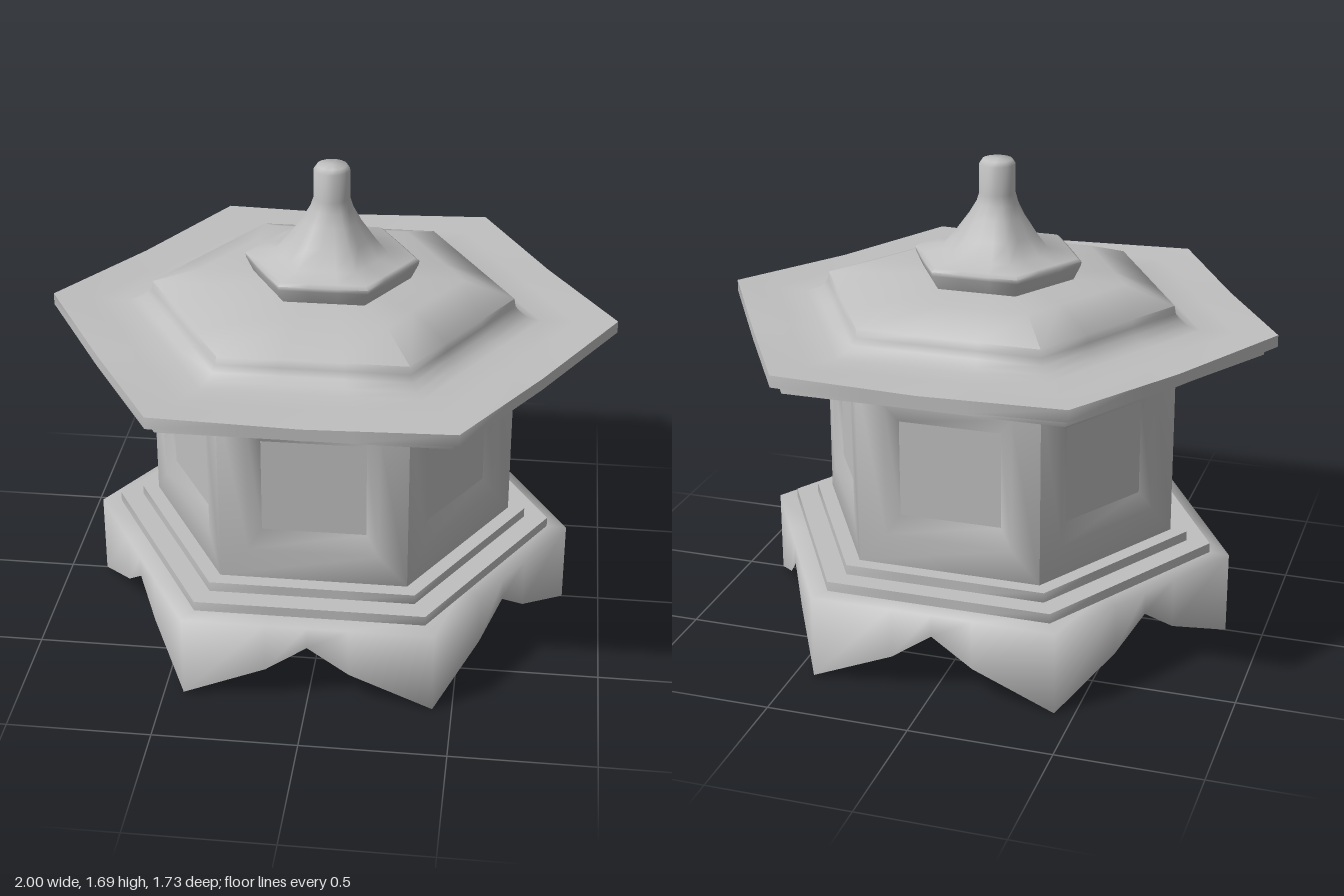
import * as THREE from 'three';
import { toCreasedNormals } from 'three/addons/utils/BufferGeometryUtils.js';

const STEPS = [0, 1 / 3, 1 / 2, 2 / 3]; // sample points along each hexagon side
const N = STEPS.length * 6;

const stone = new THREE.MeshStandardMaterial({ color: 0xbfbfbf, side: THREE.DoubleSide });
stone.name = 'stone grey';

// Point i around a hexagon with corners on +x/-x; round = 1 turns it into a circle.
function ringPoint(i, r, round) {
  const side = Math.floor(i / STEPS.length), t = STEPS[i % STEPS.length];
  const a = side * Math.PI / 3, b = a + Math.PI / 3;
  let x = Math.cos(a) * (1 - t) + Math.cos(b) * t;
  let z = Math.sin(a) * (1 - t) + Math.sin(b) * t;
  const s = 1 + (1 / Math.hypot(x, z) - 1) * round;
  return [x * s * r, z * s * r];
}

// Hexagonal loft through rows of [radius, y, roundness]; height(y, row, i) may bend a row.
function loft(rows, height = y => y, crease = 1.1) {
  const pos = [], index = [];
  rows.forEach(([r, y, round = 0], j) => {
    for (let i = 0; i < N; i++) {
      const [x, z] = ringPoint(i, r, round);
      pos.push(x, height(y, j, i), z);
    }
  });
  for (let j = 0; j < rows.length - 1; j++) {
    for (let i = 0; i < N; i++) {
      const k = (i + 1) % N;
      const a = j * N + i, b = j * N + k, c = a + N, d = b + N;
      if (rows[j][0] > 0) index.push(a, c, b);
      if (rows[j + 1][0] > 0) index.push(b, c, d);
    }
  }
  const g = new THREE.BufferGeometry();
  g.setAttribute('position', new THREE.Float32BufferAttribute(pos, 3));
  g.setIndex(index);
  return toCreasedNormals(g, crease);
}

// Nested rectangles [halfWidth, y0, y1, z] joined into a frame facing +z.
function frame(rects) {
  const pos = [], index = [];
  for (const [w, y0, y1, z] of rects) pos.push(-w, y0, z, w, y0, z, w, y1, z, -w, y1, z);
  for (let j = 0; j < rects.length - 1; j++) {
    for (let i = 0; i < 4; i++) {
      const a = j * 4 + i, b = j * 4 + (i + 1) % 4;
      index.push(a, b, b + 4, a, b + 4, a + 4);
    }
  }
  const g = new THREE.BufferGeometry();
  g.setAttribute('position', new THREE.Float32BufferAttribute(pos, 3));
  g.setIndex(index);
  g.computeVertexNormals();
  return g;
}

export function createModel() {
  const model = new THREE.Group();
  model.name = 'stoneLantern';
  const add = (name, geometry, parent = model) => {
    const mesh = new THREE.Mesh(geometry, stone);
    mesh.name = name;
    parent.add(mesh);
    return mesh;
  };

  // Scalloped skirt: its lower edge touches the ground only at the six corners
  const scallop = [0, 0.12, 0.22, 0.12];
  add('baseSkirt', loft([[0.866, 0], [0.866, 0.3], [0.77, 0.303]],
    (y, j, i) => j === 0 ? scallop[i % 4] : y, 1.7));

  // Two open steps under the body
  add('lowerStep', loft([[0.74, 0.3], [0.795, 0.3], [0.795, 0.337], [0.68, 0.337]]));
  add('upperStep', loft([[0.64, 0.337], [0.71, 0.337], [0.71, 0.372], [0.6, 0.372]]));

  // Hollow body: six framed panels with recessed windows
  const body = new THREE.Group();
  body.name = 'body';
  model.add(body);
  const wall = 0.563, half = wall * Math.tan(Math.PI / 6);
  const frameGeometry = frame([
    [half - 0.02, 0.375, 1.075, wall - 0.035],
    [half, 0.372, 1.078, wall],
    [0.225, 0.485, 0.965, wall],
    [0.18, 0.555, 0.9, wall - 0.025],
  ]);
  const windowGeometry = new THREE.PlaneGeometry(0.36, 0.345);
  for (let i = 0; i < 6; i++) {
    const panel = new THREE.Group();
    panel.name = 'wallPanel';
    panel.rotation.y = i * Math.PI / 3;
    body.add(panel);
    add('wallFrame', frameGeometry, panel);
    add('window', windowGeometry, panel).position.set(0, 0.7275, wall - 0.025);
  }

  // Roof: lower board, eaves lifted at the corners, and raised crown
  const dip = [0, 0.008, 0.012, 0.008];
  add('roofBoard', loft([[0, 1.078], [0.955, 1.075], [0.955, 1.105]]));
  add('roof', loft([
    [0.6, 1.1], [1, 1.108], [1, 1.15], [0.85, 1.14], [0.73, 1.138], [0.69, 1.148],
    [0.66, 1.168], [0.643, 1.19], [0.638, 1.218], [0.46, 1.278], [0, 1.28],
  ], (y, j, i) => j === 1 || j === 2 ? y - dip[i % 4] : y));

  // Finial: hexagonal foot sweeping up into a round post
  add('finial', loft([
    [0.275, 1.275], [0.302, 1.33, 0.04], [0.305, 1.345, 0.04], [0.29, 1.355, 0.04],
    [0.2, 1.366, 0.05], [0.15, 1.425, 0.1], [0.102, 1.49, 0.3], [0.075, 1.535, 0.7],
    [0.063, 1.57, 1], [0.063, 1.672, 1], [0.052, 1.688, 1], [0, 1.69, 1],
  ]));

  return model;
}
